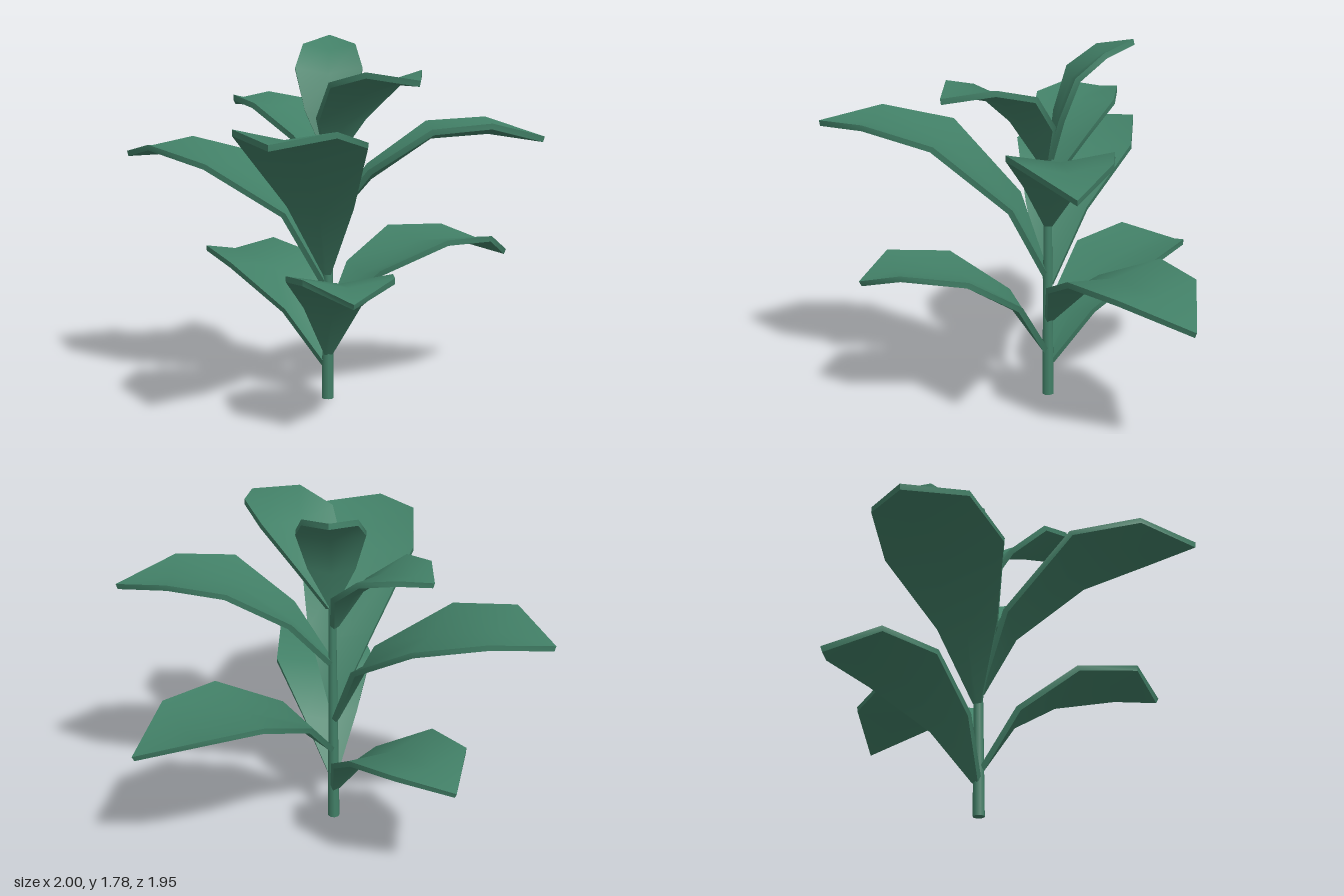
import * as THREE from 'three';
import { toCreasedNormals } from 'three/addons/utils/BufferGeometryUtils.js';

const STEM_X = 0.025, STEM_Z = 0.11, THICKNESS = 0.028;

// Lofted leaf: rows run from stem to tip as [reach, height, half width], folded along the midrib
function leafGeometry(tipX, tipZ, rows, fold) {
  const dx = tipX - STEM_X, dz = tipZ - STEM_Z, len = Math.hypot(dx, dz);
  const ux = dx / len, uz = dz / len;
  const pos = [], index = [];
  rows.forEach(([r, y, w], i) => {
    const a = rows[Math.max(i - 1, 0)], b = rows[Math.min(i + 1, rows.length - 1)];
    const run = b[0] - a[0], rise = b[1] - a[1], d = Math.hypot(run, rise);
    const offR = THICKNESS * rise / d, offY = -THICKNESS * run / d;
    const sink = i === 0 || i === rows.length - 1 ? 0 : fold;
    // ring: underside left to right, then top right to left
    for (const [side, under] of [[-1, 1], [0, 1], [1, 1], [1, 0], [0, 0], [-1, 0]]) {
      const reach = r + under * offR, s = side * w;
      pos.push(STEM_X + ux * reach + uz * s,
        y + under * offY - (side === 0 ? sink : 0),
        STEM_Z + uz * reach - ux * s);
    }
  });
  for (let i = 0; i < rows.length - 1; i++) {
    for (let j = 0; j < 6; j++) {
      const a = i * 6 + j, b = i * 6 + (j + 1) % 6;
      index.push(a, b, b + 6, a, b + 6, a + 6);
    }
  }
  const geo = new THREE.BufferGeometry();
  geo.setAttribute('position', new THREE.Float32BufferAttribute(pos, 3));
  geo.setIndex(index);
  return toCreasedNormals(geo, 0.75);
}

export function createModel() {
  const group = new THREE.Group();
  const green = new THREE.MeshStandardMaterial({ color: 0x428067 });
  green.name = 'leaf green';

  // Stem
  const stem = new THREE.Mesh(new THREE.CylinderGeometry(0.018, 0.03, 1.27, 8), green);
  stem.name = 'stem';
  stem.position.set(STEM_X, 0.635, STEM_Z);
  group.add(stem);

  // Leaves: tip position, reach, height and half width of each row, fold depth
  const leaves = [
    { name: 'lowerLeafRight', tip: [-0.66, 0.73], fold: 0.04,
      r: [0, 0.16, 0.44, 0.758, 0.924], y: [0.24, 0.52, 0.71, 0.755, 0.675], w: [0.14, 0.25, 0.205] },
    { name: 'lowerLeafBack', tip: [0.31, -0.8], fold: 0.04,
      r: [0, 0.17, 0.47, 0.77, 0.953], y: [0.18, 0.44, 0.64, 0.685, 0.6], w: [0.14, 0.257, 0.215] },
    { name: 'lowerLeafLeft', tip: [1.0, 0.57], fold: 0.04,
      r: [0, 0.2, 0.516, 0.818, 1.078], y: [0.41, 0.65, 0.795, 0.785, 0.66], w: [0.16, 0.277, 0.23] },
    { name: 'middleLeafBack', tip: [-0.23, -0.98], fold: 0.04,
      r: [0, 0.16, 0.517, 0.862, 1.12], y: [0.58, 0.94, 1.18, 1.255, 1.19], w: [0.155, 0.3, 0.24] },
    { name: 'middleLeafRight', tip: [-1.0, 0.53], fold: 0.04,
      r: [0, 0.15, 0.5, 0.845, 1.108], y: [0.64, 1.0, 1.335, 1.415, 1.38], w: [0.165, 0.3, 0.233] },
    { name: 'middleLeafLeft', tip: [0.62, 0.97], fold: 0.04,
      r: [0, 0.19, 0.486, 0.774, 1.046], y: [0.9, 1.16, 1.365, 1.39, 1.31], w: [0.14, 0.245, 0.195] },
    { name: 'upperLeafBack', tip: [0.02, -0.47], fold: 0.03,
      r: [0, 0.1, 0.29, 0.47, 0.58], y: [1.1, 1.32, 1.47, 1.5, 1.465], w: [0.15, 0.21, 0.145] },
    { name: 'upperLeafFront', tip: [-0.17, 0.75], fold: 0.035,
      r: [0, 0.09, 0.275, 0.487, 0.669], y: [1.19, 1.41, 1.59, 1.645, 1.61], w: [0.145, 0.213, 0.167] },
    { name: 'topLeaf', tip: [0.36, -0.12], fold: 0.03,
      r: [0, 0.04, 0.11, 0.25, 0.406], y: [1.22, 1.43, 1.635, 1.745, 1.785], w: [0.115, 0.165, 0.13] },
  ];
  for (const { name, tip, fold, r, y, w } of leaves) {
    const widths = [0.02, ...w, 0];
    const rows = r.map((reach, i) => [reach, y[i], widths[i]]);
    const leaf = new THREE.Mesh(leafGeometry(tip[0], tip[1], rows, fold), green);
    leaf.name = name;
    group.add(leaf);
  }
  return group;
}
